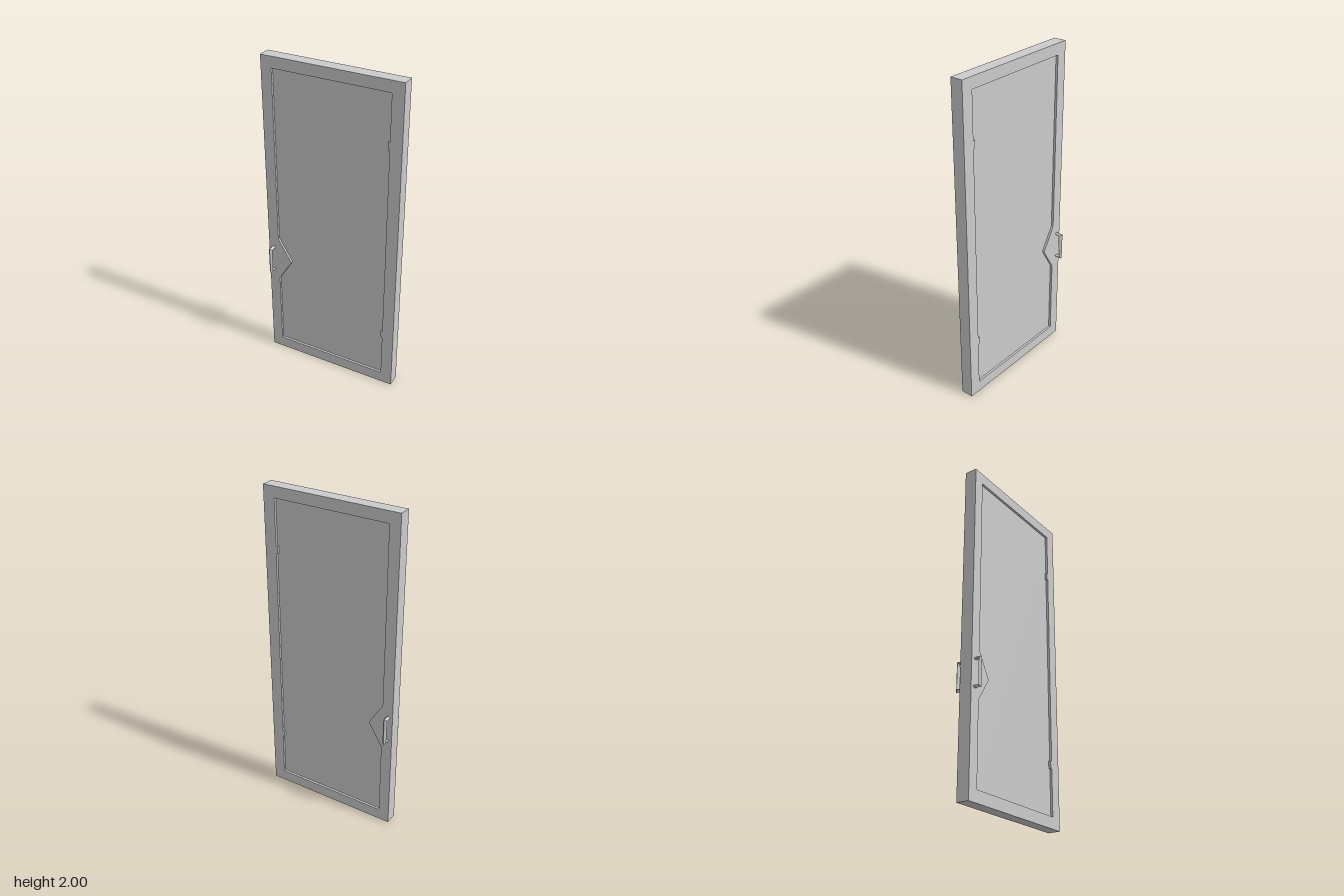
import * as THREE from 'three';

const material = new THREE.MeshStandardMaterial({ color: 0xcccccc, flatShading: true });
const HALF_W = 0.427, HEIGHT = 2, HALF_D = 0.038;

function addMesh(parent, name, geometry) {
  const mesh = new THREE.Mesh(geometry, material);
  mesh.name = name;
  parent.add(mesh);
  return mesh;
}

// Door frame: flat slab whose opening leaves a handle wedge and two hinge tabs
function frameGeometry() {
  const shape = new THREE.Shape([
    [-HALF_W, 0], [HALF_W, 0], [HALF_W, HEIGHT], [-HALF_W, HEIGHT],
  ].map(([x, y]) => new THREE.Vector2(x, y)));

  const left = -0.36, right = 0.355, tab = 0.344;
  const opening = [[left, 0.07], [left, 0.55], [-0.273, 0.692], [left, 0.838], [left, 1.932], [right, 1.932]];
  for (const y of [1.632, 0.373]) {
    opening.push([right, y + 0.023], [tab, y + 0.023], [tab, y - 0.023], [right, y - 0.023]);
  }
  opening.push([right, 0.07]);
  shape.holes.push(new THREE.Path(opening.map(([x, y]) => new THREE.Vector2(x, y))));

  const geometry = new THREE.ExtrudeGeometry(shape, { depth: 2 * HALF_D, bevelEnabled: false });
  geometry.translate(0, 0, -HALF_D);
  return geometry;
}

// Pull handle: ridged triangular section swept along a mitred U
function handleGeometry() {
  const halfWidth = 0.012, thick = 0.012, halfHeight = 0.089, reach = 0.084;
  const stations = [[0, 1], [1, 1], [1, -1], [0, -1]]; // [at grip, top or bottom]
  const rings = stations.map(([grip, side]) => {
    const point = (x, inset) => [x, side * (halfHeight - inset), grip ? reach - inset : HALF_D];
    return [point(-halfWidth, thick), point(0, 0), point(halfWidth, thick)];
  });
  const positions = [];
  for (let i = 0; i < rings.length - 1; i++) {
    for (let j = 0; j < 3; j++) {
      const k = (j + 1) % 3;
      const a = rings[i][j], b = rings[i + 1][j], c = rings[i + 1][k], d = rings[i][k];
      positions.push(...a, ...b, ...c, ...a, ...c, ...d);
    }
  }
  const geometry = new THREE.BufferGeometry();
  geometry.setAttribute('position', new THREE.Float32BufferAttribute(positions, 3));
  geometry.computeVertexNormals();
  return geometry;
}

export function createModel() {
  const door = new THREE.Group();
  door.name = 'door';

  addMesh(door, 'frame', frameGeometry());

  // Recessed panel, its edges buried in the frame
  const panel = addMesh(door, 'panel', new THREE.BoxGeometry(0.74, 1.89, 0.048));
  panel.position.y = 1;

  // One handle on each face
  const handle = handleGeometry();
  for (const [name, turn] of [['frontHandle', 0], ['backHandle', Math.PI]]) {
    const mesh = addMesh(door, name, handle);
    mesh.position.set(-0.398, 0.692, 0);
    mesh.rotation.y = turn;
  }
  return door;
}
